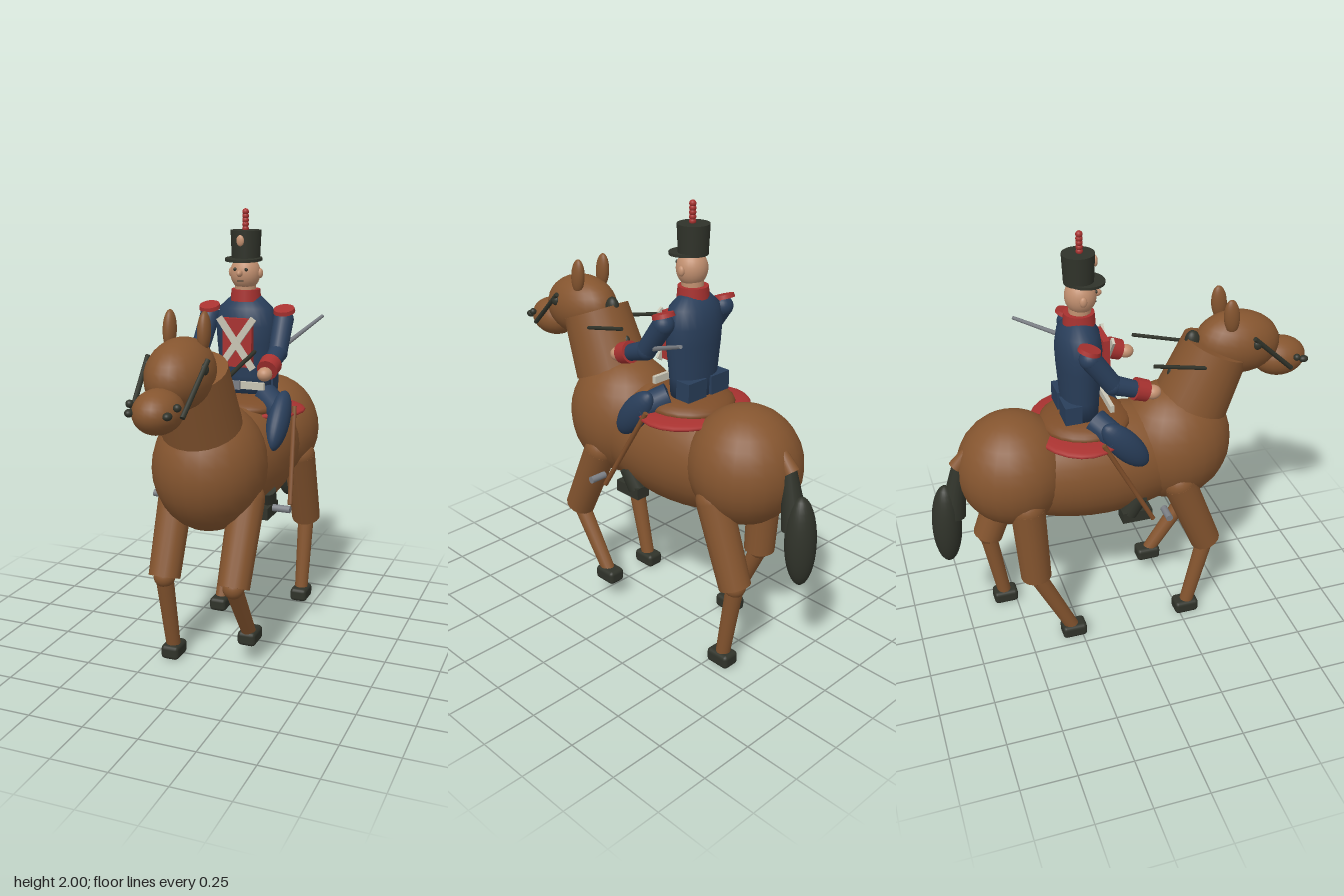
import * as THREE from 'three';
import { RoundedBoxGeometry } from 'three/addons/geometries/RoundedBoxGeometry.js';

const mat = (name, color) => {
  const m = new THREE.MeshStandardMaterial({ color });
  m.name = name;
  return m;
};

export function createModel() {
  const root = new THREE.Group();
  root.name = 'mountedSoldier';
  const coat = mat('horse brown', 0x85552f);
  const dark = mat('charcoal', 0x30332a);
  const blue = mat('uniform blue', 0x293e5a);
  const red = mat('trim red', 0xa83230);
  const skin = mat('skin', 0xc29070);
  const white = mat('belt white', 0xc8c4b4);
  const steel = mat('steel', 0x7b7f85);
  const leather = mat('leather', 0x7d4d29);

  const horse = new THREE.Group();
  horse.name = 'horse';
  const rider = new THREE.Group();
  rider.name = 'rider';
  root.add(horse, rider);
  let target = horse;

  const add = (name, geo, material, p = [0, 0, 0]) => {
    const m = new THREE.Mesh(geo, material);
    m.name = name;
    m.position.set(...p);
    target.add(m);
    return m;
  };
  // Ellipsoid from centre and three radii
  const ball = (name, material, p, r, rx = 0) => {
    const m = add(name, new THREE.SphereGeometry(1, 24, 16), material, p);
    m.scale.set(...r);
    m.rotation.x = rx;
    return m;
  };
  // Tapered cylinder between two points
  const limb = (name, material, a, b, ra, rb = ra, sides = 16) => {
    const A = new THREE.Vector3(...a), B = new THREE.Vector3(...b);
    const d = B.clone().sub(A);
    const m = add(name, new THREE.CylinderGeometry(rb, ra, d.length(), sides), material);
    m.position.copy(A).add(B).multiplyScalar(0.5);
    m.quaternion.setFromUnitVectors(new THREE.Vector3(0, 1, 0), d.normalize());
    return m;
  };
  const box = (name, material, p, s) => add(name, new THREE.BoxGeometry(...s), material, p);

  // Horse body
  ball('barrel', coat, [0, 0.885, -0.1], [0.24, 0.265, 0.53]);
  ball('chest', coat, [0, 0.925, 0.25], [0.25, 0.29, 0.275]);
  ball('rump', coat, [0, 0.92, -0.5], [0.25, 0.265, 0.255]);

  // Neck, head and mane
  limb('neck', coat, [0, 1.12, 0.34], [0, 1.38, 0.45], 0.175, 0.155, 24);
  ball('skull', coat, [0, 1.385, 0.55], [0.135, 0.145, 0.2], 0.12);
  ball('muzzle', coat, [0, 1.278, 0.762], [0.098, 0.09, 0.125]);
  ball('upperMane', dark, [0, 1.42, 0.335], [0.03, 0.05, 0.035]);
  ball('lowerMane', dark, [0, 1.26, 0.25], [0.022, 0.05, 0.03]);
  for (const s of [1, -1]) {
    ball('horseEar', coat, [s * 0.075, 1.55, 0.485], [0.027, 0.082, 0.036], -0.08);
    ball('horseEye', dark, [s * 0.122, 1.42, 0.595], [0.018, 0.024, 0.022]);
    ball('nostril', dark, [s * 0.08, 1.285, 0.85], [0.018, 0.016, 0.022]);
    ball('bit', dark, [s * 0.1, 1.31, 0.805], [0.016, 0.016, 0.016]);
    limb('bridleStrap', dark, [s * 0.108, 1.265, 0.777], [s * 0.13, 1.455, 0.577], 0.011, 0.011, 8);
    limb('rein', dark, [s * 0.13, 1.345, 0.37], [s * 0.15, 1.41, 0.106], 0.009, 0.009, 8);
  }

  // Tail
  limb('tailRoot', coat, [0, 1.04, -0.7], [0, 0.97, -0.755], 0.025, 0.035);
  limb('tailTop', dark, [0, 1.0, -0.735], [0, 0.72, -0.79], 0.03, 0.06);
  ball('tailTip', dark, [0, 0.672, -0.82], [0.07, 0.207, 0.067], 0.03);

  // Legs: side, hip, knee, hoof as [y, z]
  const legs = [
    ['frontLeft', 1, [0.79, 0.24], [0.435, 0.405], [0.127, 0.2]],
    ['frontRight', -1, [0.79, 0.23], [0.425, 0.375], [0.037, 0.285]],
    ['backLeft', 1, [0.8, -0.48], [0.43, -0.615], [0.037, -0.552]],
    ['backRight', -1, [0.8, -0.48], [0.41, -0.458], [0.037, -0.288]],
  ];
  for (const [name, s, hip, knee, hoof] of legs) {
    const x = s * 0.17;
    limb(name + 'UpperLeg', coat, [x, ...hip], [x, ...knee], 0.078, 0.071);
    ball(name + 'Hip', coat, [x, ...hip], [0.077, 0.077, 0.077]);
    ball(name + 'Knee', coat, [x, ...knee], [0.048, 0.048, 0.048]);
    limb(name + 'LowerLeg', coat, [x, ...knee], [x, ...hoof], 0.04, 0.032);
    add(name + 'Hoof', new RoundedBoxGeometry(0.085, 0.066, 0.118, 2, 0.018), dark, [x, ...hoof]);
  }

  // Saddle and stirrups
  ball('saddleBlanket', red, [0, 1.088, -0.2], [0.28, 0.032, 0.215]);
  ball('saddle', leather, [0, 1.115, -0.165], [0.2, 0.058, 0.205]);
  for (const s of [1, -1]) {
    limb('stirrupLeather', leather, [s * 0.25, 1.12, -0.15], [s * 0.305, 0.72, 0.06], 0.011, 0.011, 8);
    limb('stirrupIron', steel, [s * 0.25, 0.722, 0.13], [s * 0.33, 0.722, 0.13], 0.016);
    limb('bootShaft', dark, [s * 0.19, 0.77, 0.035], [s * 0.175, 0.68, -0.01], 0.038, 0.042);
    box('bootFoot', dark, [s * 0.175, 0.67, 0.02], [0.07, 0.055, 0.14]);
  }

  // Rider torso: turned profile, flattened front to back
  target = rider;
  const profile = [[0, 1.16], [0.115, 1.16], [0.122, 1.25], [0.138, 1.4], [0.143, 1.48],
    [0.125, 1.56], [0.07, 1.61], [0, 1.62]].map(p => new THREE.Vector2(...p));
  const torso = add('coatBody', new THREE.LatheGeometry(profile, 24), blue, [0, 0, -0.187]);
  torso.scale.z = 0.7;

  // Chest panel, crossed straps and belt
  box('chestPanel', red, [0, 1.41, -0.08], [0.14, 0.22, 0.03]);
  for (const s of [1, -1]) {
    const strap = box('crossStrap', white, [0, 1.41, -0.057], [0.03, 0.28, 0.012]);
    strap.rotation.z = s * 0.62;
    strap.position.z += s * 0.002;
  }
  box('waistBelt', white, [0, 1.217, -0.075], [0.26, 0.033, 0.018]);
  box('beltBuckle', steel, [0, 1.217, -0.062], [0.035, 0.04, 0.01]);

  // Limbs, shoulder pads and coat tails
  for (const s of [1, -1]) {
    const shoulder = [s * 0.18, 1.51, -0.185], elbow = [s * 0.188, 1.375, -0.09];
    ball('shoulder', blue, shoulder, [0.047, 0.047, 0.047]);
    limb('upperArm', blue, shoulder, elbow, 0.047, 0.043);
    ball('elbow', blue, elbow, [0.044, 0.044, 0.044]);
    limb('forearm', blue, elbow, [s * 0.19, 1.338, 0.01], 0.043, 0.037);
    limb('cuff', red, [s * 0.19, 1.342, 0.005], [s * 0.19, 1.322, 0.06], 0.05, 0.047);
    ball('hand', skin, [s * 0.19, 1.31, 0.088], [0.033, 0.031, 0.036]);
    const pad = add('epaulette', new THREE.CylinderGeometry(0.047, 0.05, 0.018, 16), red, [s * 0.182, 1.552, -0.187]);
    pad.rotation.x = 0.3;
    limb('thigh', blue, [s * 0.11, 1.16, -0.15], [s * 0.21, 1.1, -0.07], 0.06, 0.058);
    ball('knee', blue, [s * 0.212, 1.075, -0.04], [0.05, 0.15, 0.065], 2.45);
    box('coatTail', blue, [s * 0.07, 1.21, -0.245], [0.11, 0.085, 0.075]);
  }

  // Head and face
  limb('throat', skin, [0, 1.6, -0.178], [0, 1.68, -0.175], 0.048);
  limb('collar', red, [0, 1.59, -0.18], [0, 1.642, -0.18], 0.07, 0.066, 24);
  ball('head', skin, [0, 1.715, -0.172], [0.069, 0.078, 0.068]);
  ball('nose', skin, [0, 1.718, -0.1], [0.013, 0.016, 0.02]);
  box('mouth', dark, [0, 1.684, -0.109], [0.028, 0.005, 0.006]);
  for (const s of [1, -1]) {
    ball('ear', skin, [s * 0.07, 1.715, -0.178], [0.012, 0.022, 0.016]);
    ball('eye', dark, [s * 0.027, 1.735, -0.111], [0.008, 0.008, 0.006]);
  }

  // Tall hat with visor, badge and beaded plume
  limb('hat', dark, [0, 1.775, -0.178], [0, 1.905, -0.178], 0.064, 0.07, 24);
  const visor = add('hatVisor', new THREE.CylinderGeometry(0.084, 0.084, 0.012, 24), dark, [0, 1.778, -0.15]);
  visor.rotation.x = 0.05;
  ball('hatBadge', skin, [0, 1.862, -0.106], [0.018, 0.025, 0.01]);
  for (let i = 0; i < 5; i++) ball('plumeBead', red, [0, 1.912 + i * 0.0183, -0.172], [0.015, 0.015, 0.015]);

  // Sabre
  const sabre = limb('sabreBlade', steel, [0.2, 1.4, -0.15], [0.298, 1.503, -0.405], 0.011, 0.008, 8);
  sabre.castShadow = true;

  return root;
}
